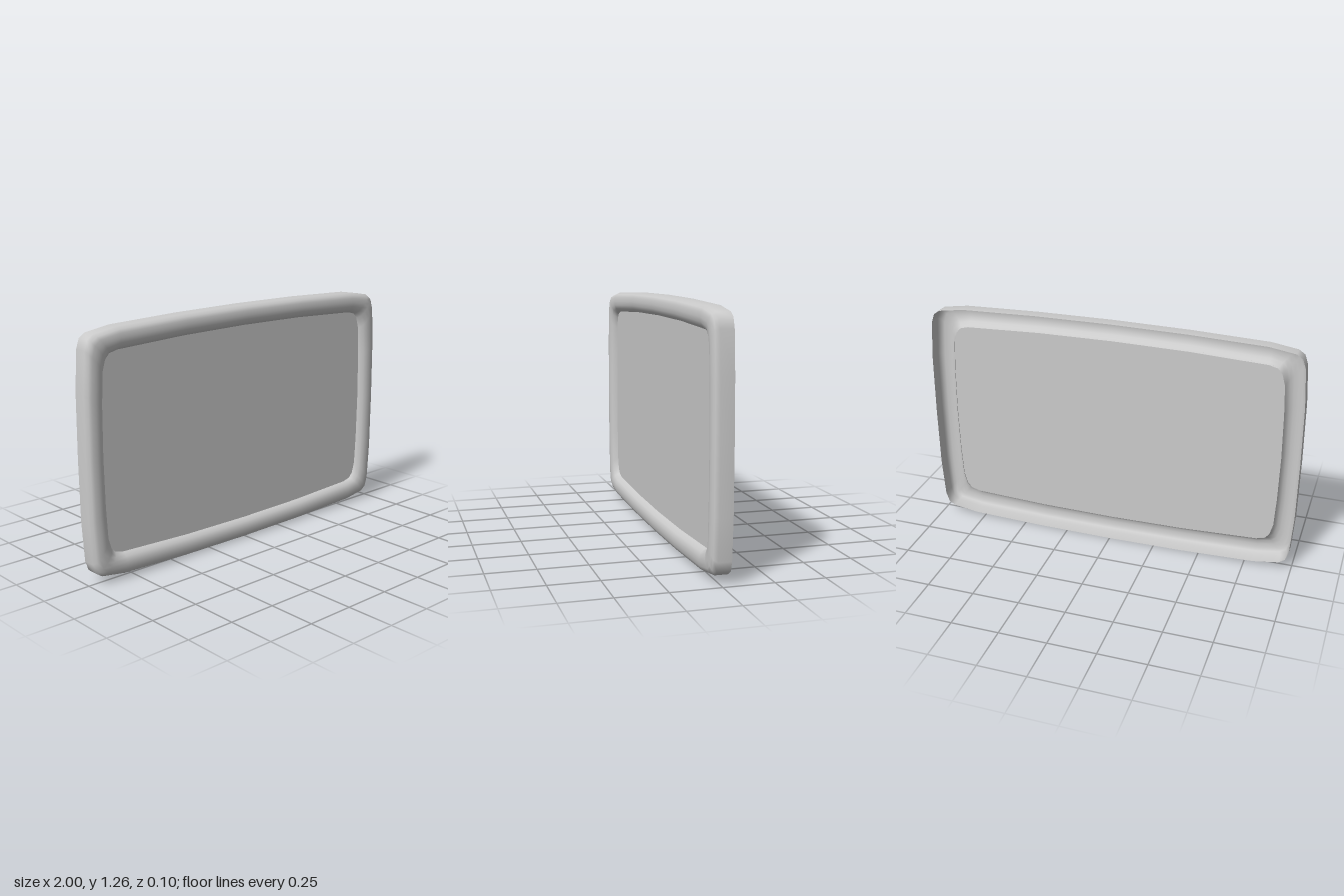
import * as THREE from 'three';

const MID_Y = 0.63;

// Quarter outlines from the middle of the right side round to the middle of the top
const OUTER = [[1, 0], [0.997, 0.317], [0.984, 0.52], [0.967, 0.57], [0.935, 0.592], [0.8, 0.613], [0.4, 0.626], [0, 0.63]];
const INNER = [[0.897, 0], [0.893, 0.24], [0.885, 0.4], [0.868, 0.46], [0.845, 0.487], [0.8, 0.499], [0.4, 0.516], [0, 0.521]];

// Rim cross-section: [blend from outer to inner outline, z]
const PROFILE = [[0, -0.048], [0, 0.018], [0.1, 0.038], [0.25, 0.045], [0.45, 0.048], [0.65, 0.046], [0.82, 0.037], [0.94, 0.02], [1, 0]];

// Mirror a quarter outline into a full anticlockwise loop
function fullLoop(q) {
  const half = [...q, ...q.slice(0, -1).reverse().map(([x, y]) => [-x, y])];
  return [...half, ...half.slice(1, -1).reverse().map(([x, y]) => [x, -y])];
}

const outer = fullLoop(OUTER);
const inner = fullLoop(INNER);

// Outline at blend t between the outer and inner loops
function ring(t) {
  return outer.map(([x, y], i) => [
    x + (inner[i][0] - x) * t,
    y + (inner[i][1] - y) * t + MID_Y,
  ]);
}

// Sweep the cross-section around the outline, leaving the back open
function rimGeometry() {
  const pos = [], index = [], n = outer.length;
  PROFILE.forEach(([t, z], r) => {
    ring(t).forEach(([x, y]) => pos.push(x, y, z));
    if (r === PROFILE.length - 1) return;
    for (let i = 0; i < n; i++) {
      const j = (i + 1) % n, a = r * n + i, b = r * n + j;
      index.push(a, b, b + n, a, b + n, a + n);
    }
  });
  const g = new THREE.BufferGeometry();
  g.setAttribute('position', new THREE.Float32BufferAttribute(pos, 3));
  g.setIndex(index);
  g.computeVertexNormals();
  return g;
}

export function createModel() {
  const group = new THREE.Group();
  group.name = 'framedPanel';
  const material = new THREE.MeshStandardMaterial({ color: 0xcccccc, side: THREE.DoubleSide });

  // Hollow rounded rim
  const rim = new THREE.Mesh(rimGeometry(), material);
  rim.name = 'rim';
  group.add(rim);

  // Flat panel set just in front of the rim's inner lip
  const shape = new THREE.Shape(ring(0.97).map(([x, y]) => new THREE.Vector2(x, y)));
  const panel = new THREE.Mesh(new THREE.ShapeGeometry(shape), material);
  panel.name = 'panel';
  panel.position.z = 0.01;
  group.add(panel);

  return group;
}
